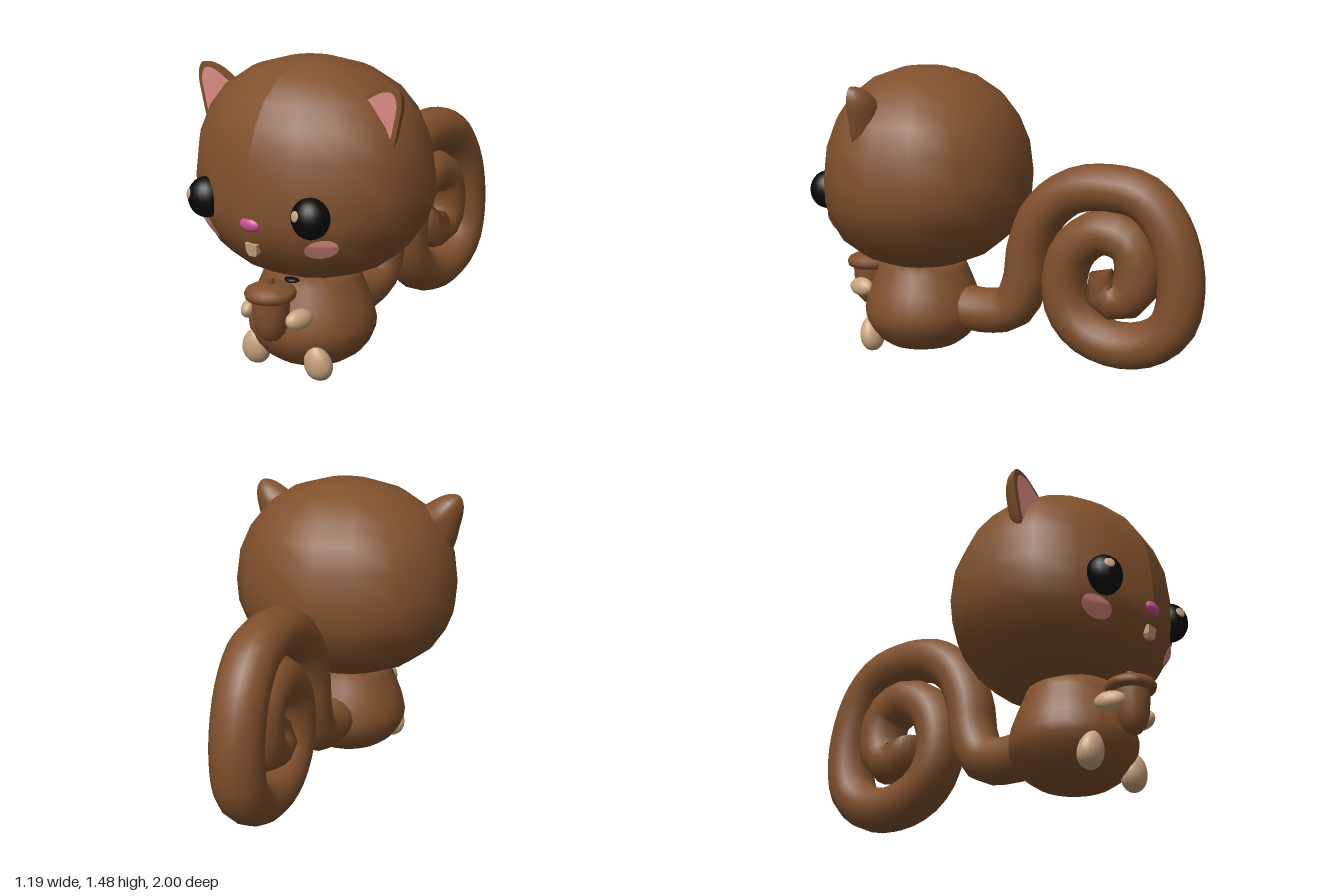
import * as THREE from 'three';

const mat = (name, color, side = THREE.FrontSide) => {
  const m = new THREE.MeshStandardMaterial({ color, side });
  m.name = name;
  return m;
};

export function createModel() {
  const brown = mat('brown fur', 0x80502c);
  const tan = mat('tan', 0xc9a47e);
  const black = mat('black', 0x080808);
  const pink = mat('soft pink', 0xdb8c82, THREE.DoubleSide);
  const nosePink = mat('nose pink', 0xcc5094);

  const group = new THREE.Group();
  const add = (name, geometry, material) => {
    const mesh = new THREE.Mesh(geometry, material);
    mesh.name = name;
    group.add(mesh);
    return mesh;
  };
  const lathe = (pts, segments) =>
    new THREE.LatheGeometry(pts.map(p => new THREE.Vector2(...p)), segments);
  const ellipsoid = (name, material, radii, pos, rot = [0, 0, 0]) => {
    const mesh = add(name, new THREE.SphereGeometry(1, 20, 14), material);
    mesh.scale.set(...radii);
    mesh.position.set(...pos);
    mesh.rotation.set(...rot);
    return mesh;
  };

  // Head: coarse smooth lathe, deeper at the back, fuller at the lower front
  const headGeo = lathe([[0, 0.475], [0.39, 0.482], [0.61, 0.533], [0.79, 0.613], [0.92, 0.727],
    [0.982, 0.82], [1, 0.94], [0.965, 1.1], [0.87, 1.23], [0.73, 1.335], [0.5, 1.425],
    [0.21, 1.475], [0, 1.48]], 16);
  const hp = headGeo.attributes.position;
  for (let i = 0; i < hp.count; i++) {
    const z = hp.getZ(i);
    const bulge = 1 - THREE.MathUtils.smoothstep(hp.getY(i), 0.62, 0.92);
    hp.setX(i, hp.getX(i) * 0.595);
    hp.setZ(i, 0.505 + z * (z > 0 ? 0.482 * (1 + 0.08 * bulge) : 0.555));
  }
  headGeo.computeVertexNormals();
  const head = add('head', headGeo, brown);
  head.updateMatrixWorld();

  // Body
  const bodyGeo = lathe([[0, 0.02], [0.13, 0.02], [0.19, 0.037], [0.246, 0.075], [0.29, 0.13],
    [0.31, 0.18], [0.315, 0.225], [0.301, 0.29], [0.282, 0.34], [0.262, 0.39], [0.24, 0.44],
    [0.222, 0.49], [0, 0.5]], 24);
  bodyGeo.scale(1, 1, 0.96);
  add('body', bodyGeo, brown).position.z = 0.52;

  // Curled tail: tube along a tight spiral, rounded off at the inner tip
  const spiral = [[0.3, 0.245], [0.13, 0.24], [0, 0.28], [-0.065, 0.42], [-0.09, 0.6], [-0.17, 0.78],
    [-0.32, 0.9], [-0.5, 0.93], [-0.69, 0.895], [-0.82, 0.75], [-0.885, 0.5], [-0.85, 0.28],
    [-0.74, 0.18], [-0.57, 0.145], [-0.4, 0.195], [-0.3, 0.31], [-0.28, 0.47], [-0.34, 0.62],
    [-0.49, 0.712], [-0.63, 0.66], [-0.665, 0.53], [-0.635, 0.42], [-0.56, 0.385],
    [-0.5, 0.42], [-0.495, 0.48], [-0.53, 0.53]];
  const path = new THREE.CatmullRomCurve3(spiral.map(([z, y]) => new THREE.Vector3(0, y, z)));
  const rings = 64, sides = 14;
  const tailGeo = new THREE.TubeGeometry(path, rings, 0.115, sides);
  const tp = tailGeo.attributes.position;
  const v = new THREE.Vector3();
  for (let i = 0; i <= rings; i++) {
    const centre = path.getPointAt(i / rings);
    const size = Math.sqrt(Math.min(1, (rings - i) / 2));
    for (let j = 0; j <= sides; j++) {
      const k = i * (sides + 1) + j;
      v.fromBufferAttribute(tp, k).sub(centre).multiplyScalar(size).add(centre);
      tp.setXYZ(k, v.x * 1.14, v.y, v.z);
    }
  }
  add('tail', tailGeo, brown);

  // Ear surface: a disc stretched to the ear outline; depth > 0 makes a dome facing back
  const outline = new THREE.CatmullRomCurve3([[0.525, 1.12], [0.575, 1.26], [0.59, 1.36],
    [0.568, 1.413], [0.51, 1.418], [0.42, 1.375], [0.33, 1.3], [0.4, 1.2]]
    .map(([x, y]) => new THREE.Vector3(x, y, 0)), true);
  const earSurface = (side, size, depth) => {
    const steps = 28, rows = 6;
    const geo = new THREE.RingGeometry(0.0001, 1, steps, rows);
    const p = geo.attributes.position;
    const reversed = (side < 0) !== (depth > 0);
    for (let r = 0; r <= rows; r++) {
      const rho = Math.sin((r / rows) * Math.PI / 2);
      for (let j = 0; j <= steps; j++) {
        const t = reversed ? 1 - j / steps : j / steps;
        const o = outline.getPoint(t);
        p.setXYZ(r * (steps + 1) + j, side * (0.47 + (o.x - 0.47) * rho * size),
          1.29 + (o.y - 1.29) * rho * size, -depth * Math.sqrt(Math.max(0, 1 - rho * rho)));
      }
    }
    geo.computeVertexNormals();
    return geo;
  };

  const ray = new THREE.Raycaster();
  for (const side of [-1, 1]) {
    const label = side > 0 ? 'left' : 'right';

    // Ears: domed back, flat rim and pink inner face
    const shift = side > 0 ? -0.024 : 0;
    add(label + 'EarBack', earSurface(side, 1, 0.1), brown).position.set(shift, 0, 0.615);
    add(label + 'EarRim', earSurface(side, 1, 0), brown).position.set(shift, 0, 0.615);
    add(label + 'InnerEar', earSurface(side, 0.8, 0), pink).position.set(shift, 0, 0.619);

    // Eyes, each with a highlight on the same side
    const ex = side > 0 ? 0.29 : -0.305;
    ellipsoid(label + 'Eye', black, [0.09, 0.096, 0.085], [ex, 0.861, 0.91]);
    const [dx, z, yaw] = side > 0 ? [-0.031, 0.985, -0.35] : [-0.053, 0.974, -0.63];
    ellipsoid(label + 'EyeHighlight', tan, [0.026, 0.025, 0.007],
      [ex + dx, 0.883, z], [-0.22, yaw, 0]);

    // Cheek: tilted oval laid onto the head surface
    const cheekGeo = new THREE.RingGeometry(0.0001, 1, 28, 5);
    cheekGeo.scale(0.076, 0.043, 1);
    cheekGeo.rotateZ(side * 0.42);
    cheekGeo.translate(side * 0.318, 0.71, 0);
    const cp = cheekGeo.attributes.position;
    for (let i = 0; i < cp.count; i++) {
      ray.set(new THREE.Vector3(cp.getX(i), cp.getY(i), 2), new THREE.Vector3(0, 0, -1));
      const hit = ray.intersectObject(head)[0];
      cp.setZ(i, (hit ? hit.point.z : 0.85) + 0.008);
    }
    cheekGeo.computeVertexNormals();
    add(label + 'Cheek', cheekGeo, pink);

    // Hand reaching in to the acorn
    ellipsoid(label + 'Hand', tan, [0.039, 0.048, 0.074], [side * 0.142, 0.325, 0.812],
      [0, -side * 0.25, side * 0.35]);

    // Egg-shaped foot, narrower at the top
    const footGeo = new THREE.SphereGeometry(1, 20, 14);
    const fp = footGeo.attributes.position;
    for (let i = 0; i < fp.count; i++) {
      const s = 1 - 0.15 * fp.getY(i);
      fp.setX(i, fp.getX(i) * s);
      fp.setZ(i, fp.getZ(i) * s);
    }
    footGeo.scale(0.072, 0.09, 0.056);
    footGeo.computeVertexNormals();
    const foot = add(label + 'Foot', footGeo, tan);
    foot.position.set(side * 0.184, 0.092, 0.73);
    foot.rotation.set(0.2, 0, side * 0.1);
  }

  // Nose and tooth
  ellipsoid('nose', nosePink, [0.055, 0.034, 0.026], [0, 0.798, 0.974]);
  const tooth = new THREE.Shape([[-0.033, 0.03], [-0.03, -0.012], [-0.018, -0.03], [0.018, -0.03],
    [0.03, -0.012], [0.033, 0.03]].map(p => new THREE.Vector2(...p)));
  const toothMesh = add('tooth',
    new THREE.ExtrudeGeometry(tooth, { depth: 0.03, bevelEnabled: false }), tan);
  toothMesh.position.set(0, 0.68, 0.94);
  toothMesh.rotation.x = 0.15;

  // Acorn
  const acorn = [
    ['acornNut', [[0, 0.2], [0.04, 0.21], [0.066, 0.24], [0.082, 0.295], [0.088, 0.36], [0.09, 0.41]]],
    ['acornCap', [[0, 0.4], [0.09, 0.402], [0.115, 0.413], [0.122, 0.435], [0.112, 0.455],
      [0.07, 0.476], [0, 0.484]]],
    ['acornStem', [[0.02, 0.475], [0.02, 0.508], [0.02, 0.508], [0, 0.508]]],
  ];
  for (const [name, pts] of acorn) add(name, lathe(pts, 18), brown).position.z = 0.84;

  // Small dark mark under the chin
  ellipsoid('chinMark', black, [0.04, 0.014, 0.035], [0.04, 0.474, 0.725]);

  return group;
}
